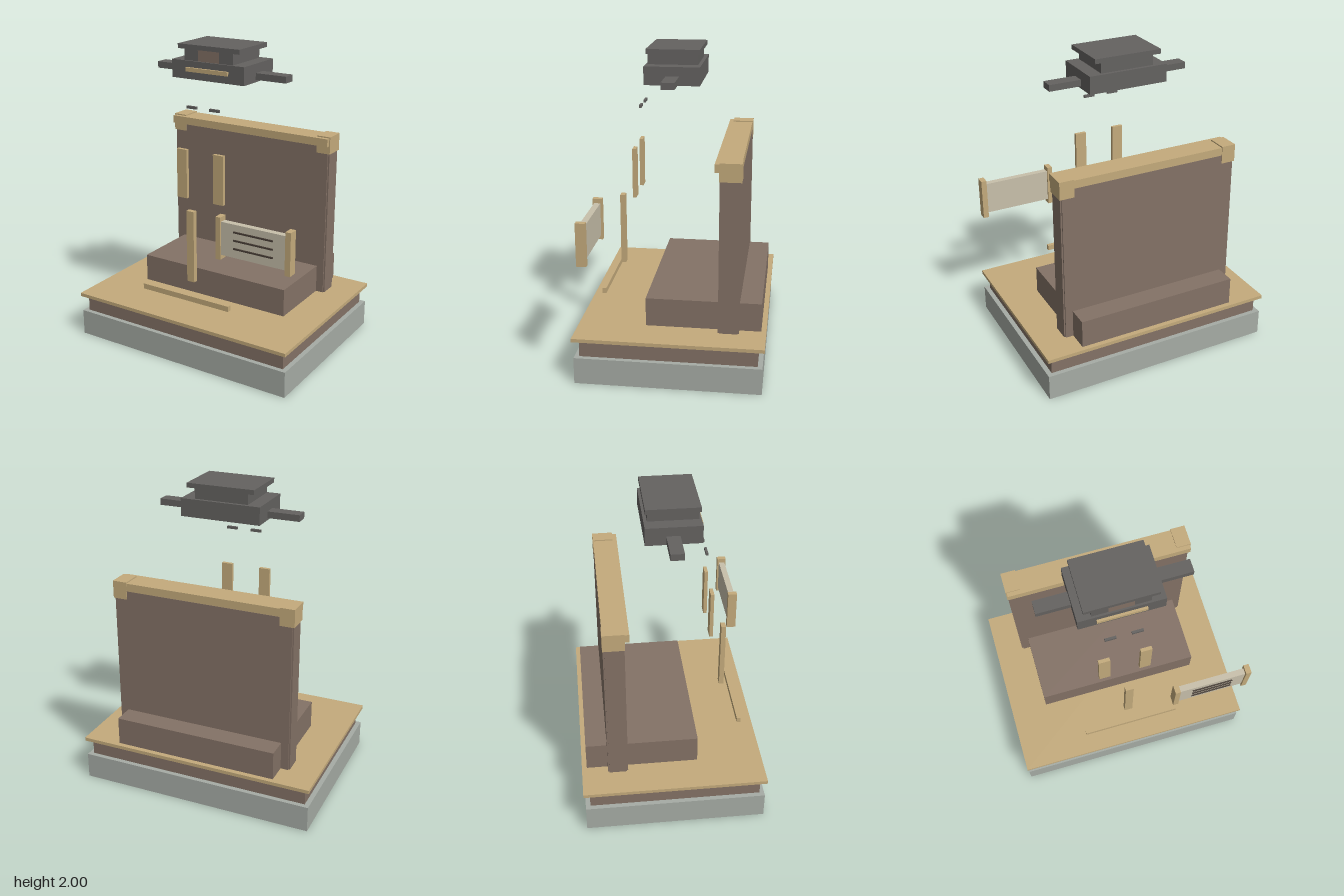
import * as THREE from 'three';

const flat = (name, color) => {
  const m = new THREE.MeshStandardMaterial({ color });
  m.name = name;
  return m;
};

export function createModel() {
  const stone = flat('pale stone', 0xa6aca5);
  const brown = flat('brown', 0x847266);
  const gold = flat('gold', 0xc4ab7c);
  const charcoal = flat('charcoal', 0x646260);
  const parchment = flat('parchment', 0xc8c0ab);
  const ink = flat('ink', 0x4a4038);

  const model = new THREE.Group();
  model.name = 'monument';

  // Box given by its [min, max] range on each axis
  const box = (name, mat, [x0, x1], [y0, y1], [z0, z1], parent = model) => {
    const mesh = new THREE.Mesh(new THREE.BoxGeometry(x1 - x0, y1 - y0, z1 - z0), mat);
    mesh.position.set((x0 + x1) / 2, (y0 + y1) / 2, (z0 + z1) / 2);
    mesh.name = name;
    parent.add(mesh);
  };
  // Box centred on x = 0
  const mid = (name, mat, half, y, z, parent) => box(name, mat, [-half, half], y, z, parent);
  // Mirrored pair of boxes
  const pair = (name, mat, [x0, x1], y, z, parent) => {
    box(name + 'Left', mat, [x0, x1], y, z, parent);
    box(name + 'Right', mat, [-x1, -x0], y, z, parent);
  };
  const group = (name) => {
    const g = new THREE.Group();
    g.name = name;
    model.add(g);
    return g;
  };

  // Stepped base
  const base = group('base');
  mid('foundation', stone, 0.787, [0, 0.172], [-0.582, 0.582], base);
  mid('plinth', brown, 0.756, [0.172, 0.282], [-0.552, 0.552], base);
  mid('platform', gold, 0.792, [0.282, 0.305], [-0.593, 0.593], base);
  mid('seatBlock', brown, 0.545, [0.305, 0.49], [-0.561, 0.167], base);

  // Back wall with edge strips, cap beam and corner blocks
  const wall = group('wall');
  mid('backPanel', brown, 0.595, [0.305, 1.34], [-0.424, -0.293], wall);
  pair('edgeStrip', brown, [0.595, 0.604], [0.305, 1.34], [-0.415, -0.302], wall);
  mid('capBeam', gold, 0.603, [1.34, 1.392], [-0.423, -0.263], wall);
  pair('cornerBlock', gold, [0.515, 0.61], [1.285, 1.4], [-0.427, -0.291], wall);

  // Trim bars standing in front of the wall
  const trim = group('frontTrim');
  pair('upperBar', gold, [0.099, 0.173], [1.03, 1.353], [0.283, 0.306], trim);
  mid('centreBar', gold, 0.027, [0.515, 0.995], [0.388, 0.42], trim);
  mid('lowerBar', gold, 0.328, [0.414, 0.45], [0.464, 0.491], trim);

  // Scroll with end rods and written lines
  const scroll = group('scroll');
  box('sheet', parchment, [0.3, 0.755], [0.81, 1.024], [0.493, 0.533], scroll);
  box('innerRod', gold, [0.27, 0.305], [0.78, 1.053], [0.482, 0.543], scroll);
  box('outerRod', gold, [0.748, 0.784], [0.78, 1.053], [0.482, 0.543], scroll);
  for (const y of [0.87, 0.923, 0.976])
    box('line', ink, [0.394, 0.663], [y - 0.005, y + 0.005], [0.533, 0.541], scroll);

  // Headpiece
  const head = group('headpiece');
  mid('brim', charcoal, 0.265, [1.785, 1.9], [-0.137, 0.211], head);
  pair('sideArm', charcoal, [0.265, 0.476], [1.8, 1.842], [-0.01, 0.074], head);
  mid('neck', charcoal, 0.178, [1.9, 1.97], [-0.115, 0.184], head);
  pair('neckBlock', charcoal, [0.077, 0.178], [1.9, 1.97], [0.184, 0.198], head);
  mid('neckPanel', brown, 0.077, [1.9, 1.97], [0.184, 0.2], head);
  mid('lid', charcoal, 0.225, [1.97, 2], [-0.131, 0.203], head);
  mid('brimBar', gold, 0.152, [1.834, 1.86], [0.211, 0.226], head);

  // Eye slits
  pair('eye', charcoal, [0.048, 0.12], [1.611, 1.628], [0.252, 0.267]);

  return model;
}
